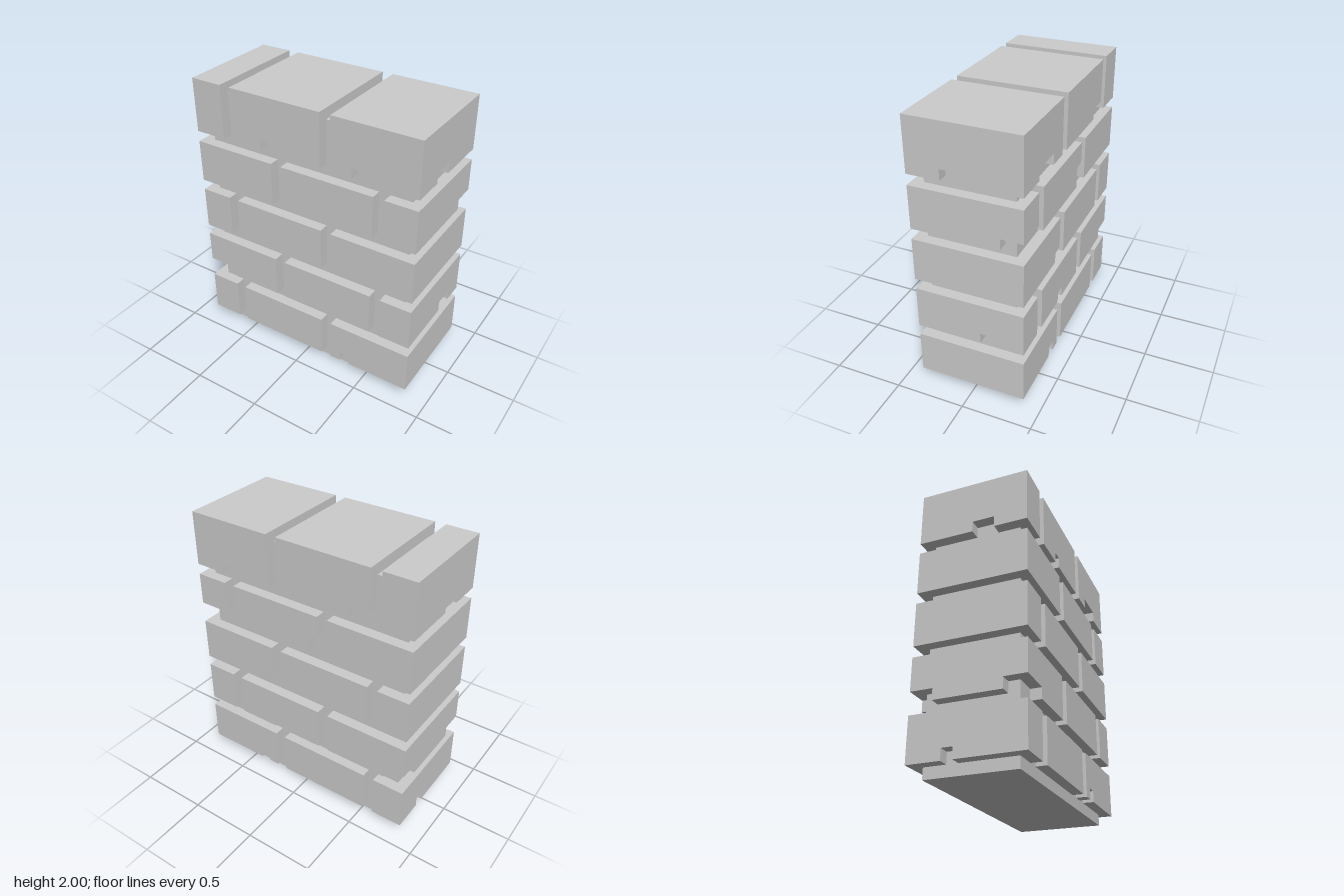
import * as THREE from 'three';
import { mergeGeometries } from 'three/addons/utils/BufferGeometryUtils.js';

// Everything sits on a grid of 1/13 unit.
const U = 1 / 13;
const HALF_X = 11, HALF_Z = 5;

// Outline of a brick seen from above, with one-unit-deep chips along its sides.
// Chips are [start, end], going round: front +x, right -z, back -x, left +z.
function outline(x0, x1, { front = [], right = [], back = [], left = [] } = {}) {
  const pts = [];
  const at = (chips, v) => (chips.some((c) => c.includes(v)) ? 1 : 0);
  const corner = (x, z) => pts.push([
    x === x0 ? x + at(left, z) : x - at(right, z),
    z > 0 ? z - at(front, x) : z + at(back, x),
  ]);
  const side = (chips, from, to, point) => {
    for (const [a, b] of chips) {
      if (a !== from) pts.push(point(a, 0), point(a, 1));
      if (b !== to) pts.push(point(b, 1), point(b, 0));
    }
  };
  corner(x0, HALF_Z);
  side(front, x0, x1, (x, d) => [x, HALF_Z - d]);
  corner(x1, HALF_Z);
  side(right, HALF_Z, -HALF_Z, (z, d) => [x1 - d, z]);
  corner(x1, -HALF_Z);
  side(back, x1, x0, (x, d) => [x, -HALF_Z + d]);
  corner(x0, -HALF_Z);
  side(left, -HALF_Z, HALF_Z, (z, d) => [x0 + d, z]);
  return pts;
}

// Raises an outline from height y0 to y1.
function prism(pts, y0, y1) {
  const shape = new THREE.Shape(pts.map(([x, z]) => new THREE.Vector2(x * U, -z * U)));
  return new THREE.ExtrudeGeometry(shape, { depth: (y1 - y0) * U, bevelEnabled: false })
    .rotateX(-Math.PI / 2)
    .translate(0, y0 * U, 0);
}

// A brick is a chipped lower layer with a plain block on top.
function brickGeometry(x0, x1, y0, y1, chips) {
  if (!chips) return prism(outline(x0, x1), y0, y1);
  const split = y0 + (chips.height || 1);
  return mergeGeometries([
    prism(outline(x0, x1, chips), y0, split),
    prism(outline(x0, x1), split, y1),
  ]);
}

const ODD = [[-11, -8], [-7, 2], [3, 11]];
const EVEN = [[-11, -3], [-2, 7], [8, 11]];

// Chips of the three bricks in each course, from the bottom up.
const COURSES = [
  [{ left: [[-2, -1]] }, null, { front: [[4, 5]], back: [[5, 4]] }],
  [
    { front: [[-11, -8]], left: [[-5, -3], [3, 5]], back: [[-9, -11]] },
    { back: [[3, 2]] },
    { right: [[-1, -3]] },
  ],
  [null, null, { back: [[4, 3]] }],
  [null, { back: [[-1, -2]], height: 2 }, { right: [[-3, -5]], back: [[11, 8]] }],
  [
    { left: [[0, 2]] },
    { front: [[-4, -3]], back: [[-5, -7]] },
    { front: [[5, 8]], right: [[2, 0]], back: [[8, 5]] },
  ],
];

export function createModel() {
  const model = new THREE.Group();
  model.name = 'brickWall';
  const material = new THREE.MeshStandardMaterial({ color: 0xcccccc, flatShading: true });

  // Mortar core, showing in the joints
  const core = new THREE.Mesh(
    new THREE.BoxGeometry((HALF_X - 1) * 2 * U, 25 * U, (HALF_Z - 1) * 2 * U),
    material,
  );
  core.name = 'mortarCore';
  core.position.y = 12.5 * U;
  model.add(core);

  // Five courses in running bond; the top one is a unit taller
  COURSES.forEach((chipSets, row) => {
    const course = new THREE.Group();
    course.name = `course${row + 1}`;
    const y0 = 1 + row * 5;
    const y1 = y0 + (row === COURSES.length - 1 ? 5 : 4);
    (row % 2 ? EVEN : ODD).forEach(([x0, x1], i) => {
      const brick = new THREE.Mesh(brickGeometry(x0, x1, y0, y1, chipSets[i]), material);
      brick.name = `brick${i + 1}`;
      course.add(brick);
    });
    model.add(course);
  });
  return model;
}
